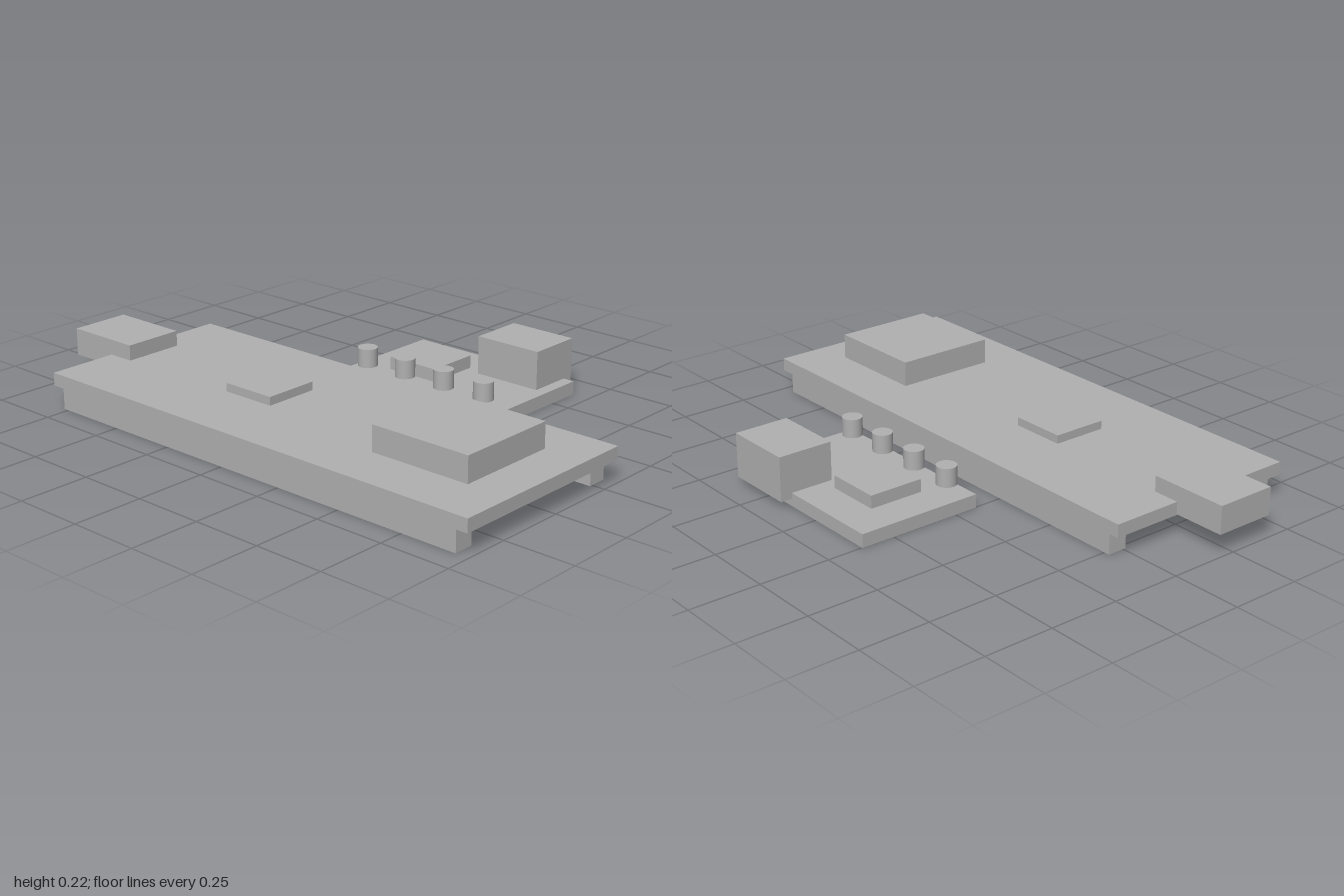
import * as THREE from 'three';

export function createModel() {
  const model = new THREE.Group();
  model.name = 'circuitBoards';
  const grey = new THREE.MeshStandardMaterial({ color: 0xb0b0b0 });
  grey.name = 'grey';

  const add = (parent, name, geometry) => {
    const mesh = new THREE.Mesh(geometry, grey);
    mesh.name = name;
    parent.add(mesh);
    return mesh;
  };
  // Box given by its [min, max] range on each axis
  const box = (parent, name, [x0, x1], [y0, y1], [z0, z1]) =>
    add(parent, name, new THREE.BoxGeometry(x1 - x0, y1 - y0, z1 - z0))
      .position.set((x0 + x1) / 2, (y0 + y1) / 2, (z0 + z1) / 2);

  // Large board with its parts
  const main = new THREE.Group();
  main.name = 'mainBoard';
  model.add(main);
  box(main, 'mainPlate', [-0.813, 0.997], [0.076, 0.122], [-0.067, 0.664]);
  box(main, 'sideConnector', [-1, -0.715], [0.079, 0.177], [0.187, 0.406]);
  box(main, 'smallChip', [-0.242, -0.04], [0.122, 0.152], [0.198, 0.398]);
  box(main, 'largeModule', [0.48, 0.851], [0.127, 0.217], [0.112, 0.484]);

  // Pin header rails under the long edges
  for (const [name, z] of [['frontPinRail', 0.625], ['backPinRail', -0.025]])
    box(main, name, [-0.77, 0.953], [0, 0.076], [z - 0.035, z + 0.035]);

  // Small driver board behind
  const driver = new THREE.Group();
  driver.name = 'driverBoard';
  model.add(driver);
  box(driver, 'driverPlate', [-0.253, 0.433], [0, 0.048], [-0.622, -0.164]);
  box(driver, 'driverChip', [-0.125, 0.076], [0.048, 0.094], [-0.492, -0.292]);
  box(driver, 'plugSocket', [0.134, 0.39], [0.027, 0.186], [-0.664, -0.463]);

  // Row of indicator lamps, raised clear of the plate
  for (let i = 0; i < 4; i++)
    add(driver, 'indicatorLamp', new THREE.CylinderGeometry(0.0355, 0.0355, 0.067, 32))
      .position.set(-0.168 + i * 0.173, 0.106, -0.219);

  return model;
}
